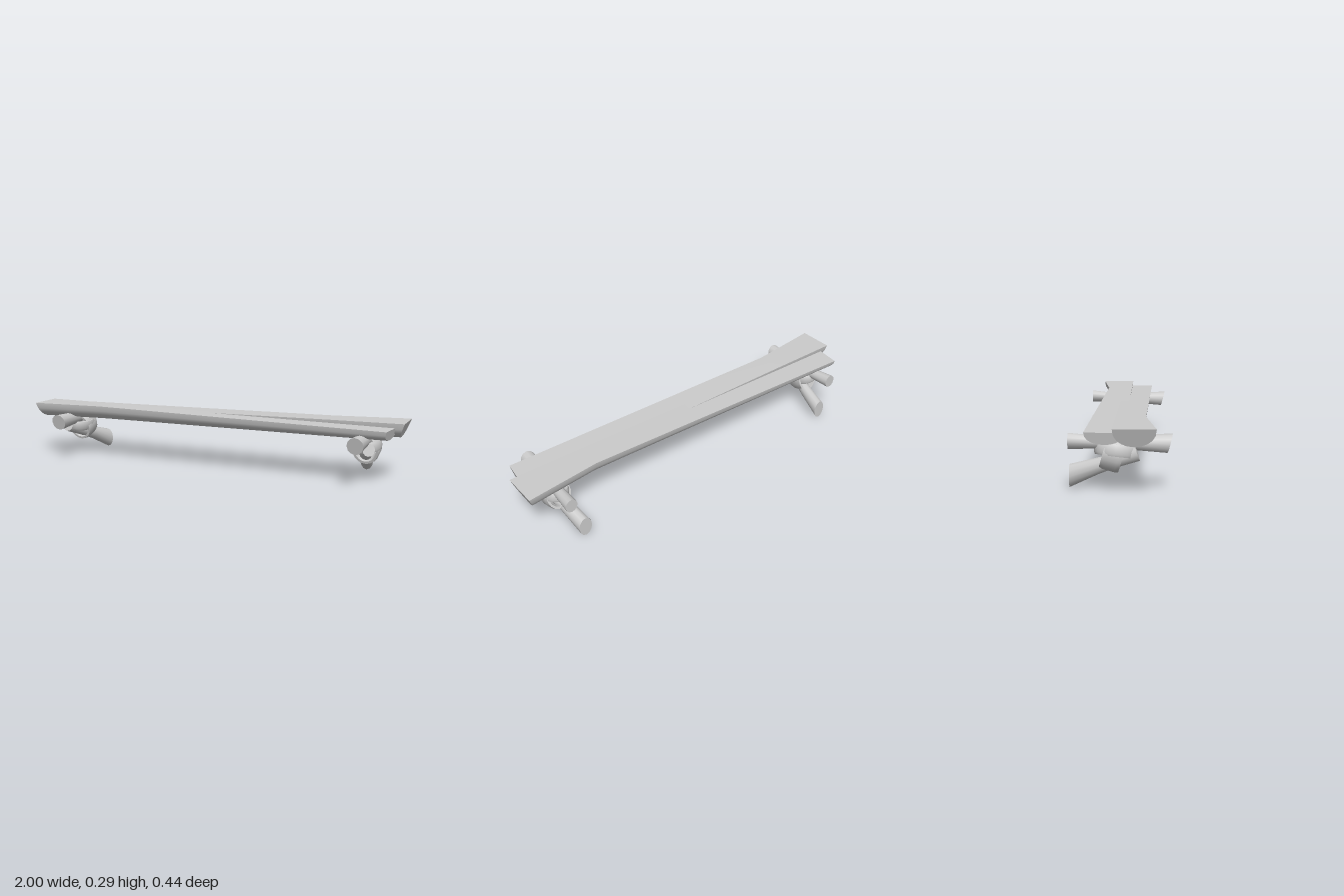
import * as THREE from 'three';
import { toCreasedNormals } from 'three/addons/utils/BufferGeometryUtils.js';

const material = new THREE.MeshStandardMaterial({ color: 0xcccccc });

function addMesh(parent, geometry, name) {
  const mesh = new THREE.Mesh(toCreasedNormals(geometry, 0.75), material);
  mesh.name = name;
  parent.add(mesh);
  return mesh;
}

// Half-round plank lofted along x: flat on top, rounded underneath.
function plankGeometry(stations) {
  const N = 10;
  const pos = [], index = [];
  for (const s of stations) {
    const mid = (s.front + s.inner) / 2, half = (s.front - s.inner) / 2;
    for (let j = 0; j <= N; j++) {
      const a = (j / N) * Math.PI;
      const c = Math.cos(a), d = Math.pow(Math.sin(a), 0.85);
      pos.push(s.x + s.skew * c + s.slant * d, s.top - (s.top - s.bottom) * d, mid + half * c);
    }
  }
  const M = N + 1, last = (stations.length - 1) * M;
  for (let i = 0; i < stations.length - 1; i++) {
    for (let j = 0; j < M; j++) {
      const k = (j + 1) % M;
      const a = i * M + j, b = i * M + k, c = b + M, d = a + M;
      index.push(a, b, c, a, c, d);
    }
  }
  for (let j = 1; j < N; j++) {
    index.push(0, j + 1, j, last, last + j, last + j + 1);
  }
  const g = new THREE.BufferGeometry();
  g.setAttribute('position', new THREE.Float32BufferAttribute(pos, 3));
  g.setIndex(index);
  return g;
}

// Log running from front to back through stations [x, y, z, radiusX, radiusY, tilt].
function logGeometry(stations) {
  const n = stations.length - 1;
  const g = new THREE.CylinderGeometry(1, 1, 1, 12, n);
  const p = g.attributes.position;
  for (let i = 0; i < p.count; i++) {
    const [x, y, z, rx, ry, tilt = 0] = stations[Math.round((p.getY(i) + 0.5) * n)];
    const u = p.getX(i), v = p.getZ(i);
    p.setXYZ(i, x + u * rx, y + v * ry, z + v * tilt);
  }
  return g;
}

// Closed strap with slightly rounded edges, stretched into an oval.
function strapGeometry(rx, rz, width) {
  const h = width / 2;
  const profile = [[0.78, -h], [0.94, -h], [1, -h * 0.6], [1, h * 0.6], [0.94, h], [0.78, h], [0.78, -h]]
    .map(([r, y]) => new THREE.Vector2(r, y));
  return new THREE.LatheGeometry(profile, 20).scale(rx, 1, rz);
}

export function createModel() {
  const model = new THREE.Group();

  // Two half-log planks, the second turned end for end
  const plank = plankGeometry([
    { x: -1, top: 0.29, bottom: 0.212, front: 0.153, inner: -0.028, skew: 0, slant: 0.03 },
    { x: -0.62, top: 0.287, bottom: 0.213, front: 0.11, inner: -0.026, skew: 0, slant: 0 },
    { x: 0.95, top: 0.267, bottom: 0.215, front: 0.147, inner: -0.018, skew: -0.01, slant: -0.012 },
  ]);
  addMesh(model, plank, 'frontPlank');
  addMesh(model, plank, 'backPlank').rotation.y = Math.PI;

  // Mirrored log brackets
  for (const s of [1, -1]) {
    const bracket = new THREE.Group();
    bracket.name = s > 0 ? 'leftBracket' : 'rightBracket';

    addMesh(bracket, logGeometry([
      [s * 0.812, 0.202, 0.212, 0.04, 0.042, 0.011],
      [s * 0.815, 0.205, 0.04, 0.031, 0.031],
      [s * 0.822, 0.207, -0.09, 0.027, 0.027],
      [s * 0.831, 0.213, -0.22, 0.031, 0.035],
    ]), 'supportLog');

    addMesh(bracket, logGeometry([
      [s * 0.845, 0.162, 0.075, 0.03, 0.03, -0.01],
      [s * 0.815, 0.135, 0, 0.031, 0.034],
      [s * 0.79, 0.102, -0.085, 0.031, 0.036],
      [s * 0.769, 0.051, -0.22, 0.034, 0.051],
    ]), 'diagonalBrace');

    // Crossed lashing around both logs
    const upright = addMesh(bracket, strapGeometry(0.068, 0.077, 0.085), 'uprightLashing');
    upright.position.set(s * 0.812, 0.157, -0.03);
    upright.rotation.set(1.85, 0, 0);
    const crossing = addMesh(bracket, strapGeometry(0.07, 0.092, 0.05), 'crossingLashing');
    crossing.position.set(s * 0.815, 0.171, -0.018);
    crossing.rotation.set(0.12, 0, s * 0.15);

    model.add(bracket);
  }
  return model;
}
